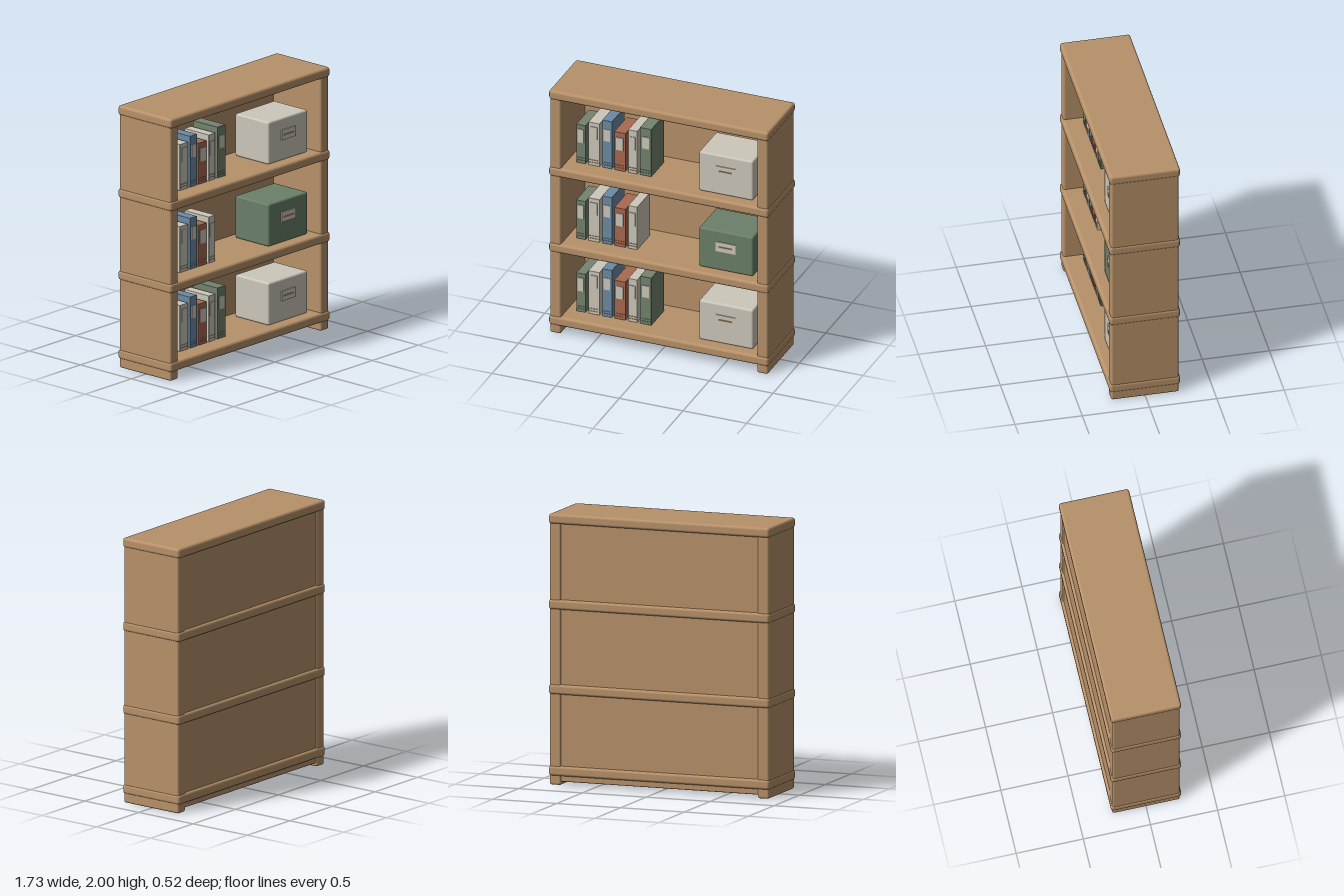
import * as THREE from 'three';
import { RoundedBoxGeometry } from 'three/addons/geometries/RoundedBoxGeometry.js';

const material = (name, color) => {
  const m = new THREE.MeshStandardMaterial({ color });
  m.name = name;
  return m;
};

export function createModel() {
  const wood = material('oak wood', 0xb8926a);
  const green = material('sage green', 0x74836f);
  const cream = material('cream', 0xcdc8bb);
  const blue = material('dusty blue', 0x6c8ba5);
  const red = material('brick red', 0xa9694f);
  const boxGreen = material('box green', 0x6b8069);

  const root = new THREE.Group();
  root.name = 'bookcase';

  // Block given by its lower and upper corners, with optional rounded edges
  function block(parent, name, mat, [x0, y0, z0], [x1, y1, z1], radius = 0) {
    const size = [x1 - x0, y1 - y0, z1 - z0];
    const geo = radius
      ? new RoundedBoxGeometry(...size, 3, radius)
      : new THREE.BoxGeometry(...size);
    const mesh = new THREE.Mesh(geo, mat);
    mesh.name = name;
    mesh.position.set((x0 + x1) / 2, (y0 + y1) / 2, (z0 + z1) / 2);
    parent.add(mesh);
    return mesh;
  }

  function group(name) {
    const g = new THREE.Group();
    g.name = name;
    root.add(g);
    return g;
  }

  // Carcass: two sides, recessed back and four overhanging boards
  const carcass = group('carcass');
  block(carcass, 'leftSide', wood, [0.77, 0.005, -0.25], [0.857, 1.98, 0.253], 0.015);
  block(carcass, 'rightSide', wood, [-0.857, 0.005, -0.25], [-0.77, 1.98, 0.253], 0.015);
  block(carcass, 'backPanel', wood, [-0.8, 0.03, -0.24], [0.8, 1.97, -0.21], 0.01);
  const shelfTops = [0.145, 0.745, 1.37];
  for (const top of [...shelfTops, 2]) {
    block(carcass, top === 2 ? 'topBoard' : 'shelf', wood,
      [-0.863, top - 0.073, -0.26], [0.863, top, 0.263], 0.02);
  }

  // Books: left edge, right edge, height, colour, label height range
  const books = [
    [-0.704, -0.63, 0.315, green, 0.17, 0.28],
    [-0.609, -0.52, 0.352, cream, 0.22, 0.32],
    [-0.5, -0.423, 0.39, blue, 0.223, 0.32],
    [-0.405, -0.317, 0.315, red, 0.17, 0.272],
    [-0.296, -0.224, 0.352, cream, 0.195, 0.3],
    [-0.203, -0.113, 0.39, green, 0.223, 0.32],
  ];
  const spineZ = 0.12;

  function addBook(parent, y, [x0, x1, h, mat, l0, l1]) {
    const inset = (x1 - x0) * 0.19;
    block(parent, 'book', mat, [x0, y, -0.12], [x1, y + h, spineZ], 0.003);
    block(parent, 'spineLabel', cream, [x0 + inset, y + l0, spineZ - 0.002],
      [x1 - inset, y + l1, spineZ + 0.005]);
    // Two thin bands near the foot of the spine
    for (const dy of [0.022, 0.042]) {
      block(parent, 'spineBand', mat === cream ? wood : mat,
        [x0 + 0.007, y + dy, spineZ - 0.002], [x1 - 0.007, y + dy + 0.005, spineZ + 0.004]);
    }
  }

  // Storage box with a label plate and a slim pull
  function addBox(parent, y, mat) {
    block(parent, 'storageBox', mat, [0.285, y, -0.15], [0.71, y + 0.323, 0.18], 0.015);
    block(parent, 'boxLabel', cream, [0.42, y + 0.157, 0.178], [0.574, y + 0.234, 0.187]);
    block(parent, 'boxPull', wood, [0.445, y + 0.19, 0.186], [0.55, y + 0.199, 0.193]);
  }

  shelfTops.forEach((y, i) => {
    const contents = group('shelfContents' + (i + 1));
    // The middle shelf holds one book fewer and the green box
    books.slice(0, i === 1 ? 5 : 6).forEach((b) => addBook(contents, y, b));
    addBox(contents, y, i === 1 ? boxGreen : cream);
  });

  return root;
}
